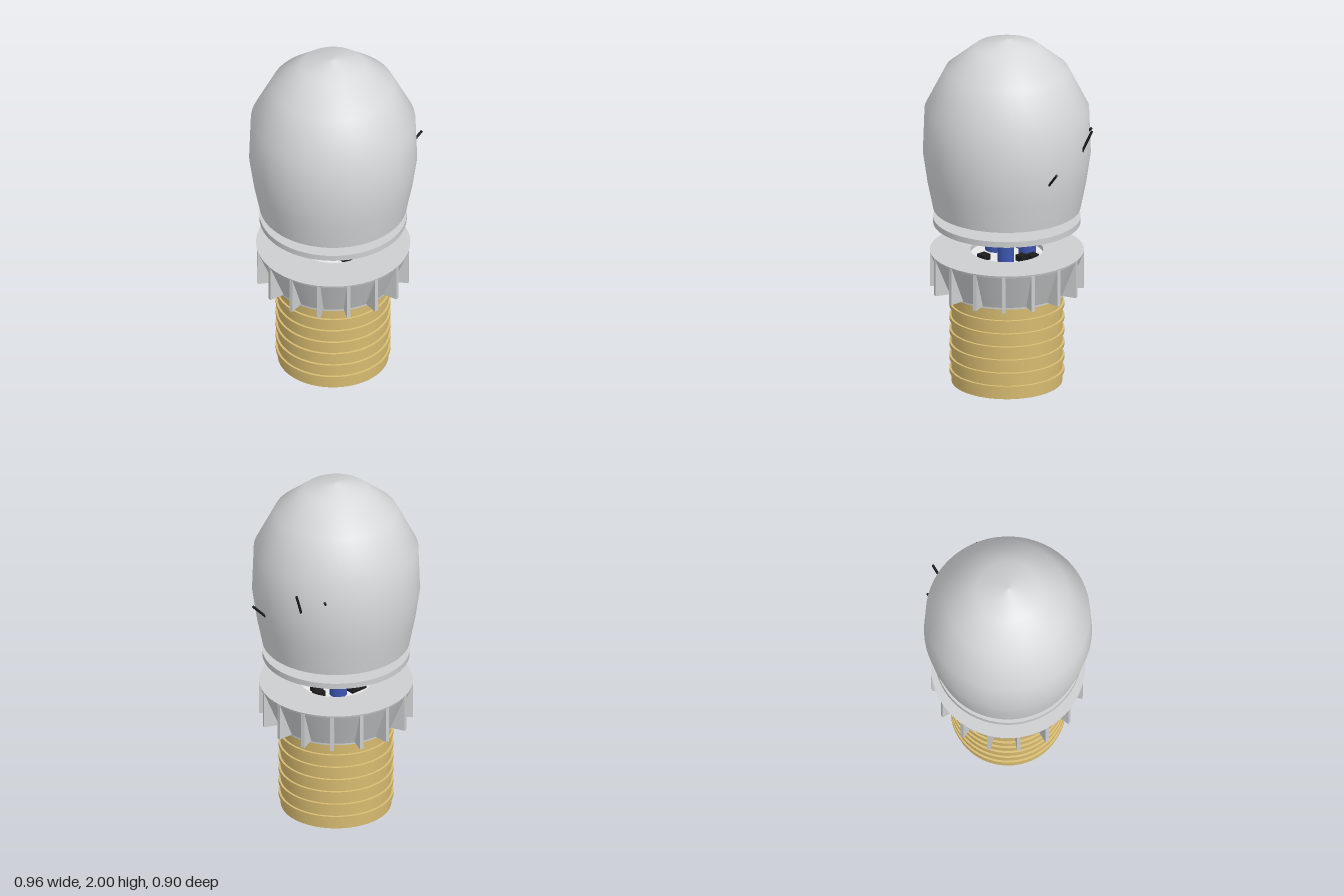
import * as THREE from 'three';

const mat = (name, color, side = THREE.FrontSide) => {
  const m = new THREE.MeshStandardMaterial({ color, side });
  m.name = name;
  return m;
};

export function createModel() {
  const root = new THREE.Group();
  root.name = 'explodedLedBulb';
  const bulb = new THREE.Group();
  bulb.name = 'bulb';
  bulb.position.x = -0.03;
  root.add(bulb);

  const diffuser = mat('diffuser grey', 0xd6d8da);
  const metal = mat('aluminium grey', 0xcccecf);
  const brass = mat('brass', 0xd6ba70);
  const blue = mat('capacitor blue', 0x3d54b0);
  const black = mat('black', 0x1c1c1c);
  const white = mat('board white', 0xeeeeee);

  const add = (name, geo, material, x = 0, y = 0, z = 0) => {
    const m = new THREE.Mesh(geo, material);
    m.name = name;
    m.position.set(x, y, z);
    bulb.add(m);
    return m;
  };
  const cyl = (name, r, y0, y1, material, x = 0, z = 0, sides = 48) =>
    add(name, new THREE.CylinderGeometry(r, r, y1 - y0, sides), material, x, (y0 + y1) / 2, z);

  // Lathe with a crisp edge at every profile point, one band at a time
  const crispLathe = (name, pts, material) => {
    for (let i = 0; i < pts.length - 1; i++) {
      const band = [pts[i], pts[i + 1]].map(p => new THREE.Vector2(...p));
      add(name, new THREE.LatheGeometry(band, 64), material);
    }
  };

  // Diffuser dome, smooth across its few profile bands
  const dome = [[0.395, 1.04], [0.425, 1.19], [0.45, 1.36], [0.441, 1.61],
    [0.33, 1.83], [0.172, 1.96], [0, 2]].map(p => new THREE.Vector2(...p));
  add('dome', new THREE.LatheGeometry(dome, 64), diffuser);
  const cap = add('domeUnderside', new THREE.CircleGeometry(0.395, 64), diffuser, 0, 1.04, 0);
  cap.rotation.x = Math.PI / 2;

  // Small rods standing out of the dome
  const rod = (a, b) => {
    const p = new THREE.Vector3(...a), q = new THREE.Vector3(...b);
    const d = q.clone().sub(p);
    const m = add('domeRod', new THREE.CylinderGeometry(0.007, 0.007, d.length(), 8), black);
    m.position.copy(p).add(q).multiplyScalar(0.5);
    m.quaternion.setFromUnitVectors(new THREE.Vector3(0, 1, 0), d.normalize());
  };
  rod([0.405, 1.42, -0.172], [0.46, 1.55, -0.195]);
  rod([0.42, 1.295, 0.086], [0.505, 1.385, 0.103]);
  rod([0.325, 1.48, -0.28], [0.348, 1.512, -0.296]);

  // LED plate with chips and a connector
  cyl('ledPlate', 0.395, 0.955, 0.987, metal, 0, 0, 64);
  const chip = (x, z) => cyl('ledChip', 0.053, 0.985, 1.018, brass, x, z, 8);
  chip(0, 0);
  for (const s of [-1, 1]) {
    chip(s * 0.225, 0);
    chip(0, s * 0.225);
    chip(s * 0.11, s * 0.11);
    chip(s * 0.11, -s * 0.11);
  }
  add('connector', new THREE.BoxGeometry(0.08, 0.05, 0.08), black, -0.125, 1.013, -0.21);

  // Heat sink: flared body with a well in the top
  crispLathe('heatSink', [[0.28, 0.575], [0.328, 0.575], [0.328, 0.585], [0.41, 0.785],
    [0.413, 0.797], [0.195, 0.797], [0.195, 0.77]], metal);
  cyl('driverBoard', 0.195, 0.76, 0.772, white);

  // Radial fins
  const finShape = new THREE.Shape();
  finShape.moveTo(0.315, 0.585);
  finShape.lineTo(0.412, 0.585);
  finShape.lineTo(0.412, 0.79);
  finShape.lineTo(0.39, 0.79);
  const finGeo = new THREE.ExtrudeGeometry(finShape, { depth: 0.02, bevelEnabled: false });
  finGeo.translate(0, 0, -0.01);
  for (let i = 0; i < 16; i++) {
    add('fin', finGeo, metal).rotation.y = (i * Math.PI) / 8;
  }

  // Driver components
  cyl('largeCapacitor', 0.055, 0.77, 0.953, blue, -0.09, 0);
  cyl('backCapacitor', 0.047, 0.77, 0.9, blue, 0.065, -0.09);
  cyl('frontCapacitor', 0.045, 0.77, 0.88, blue, 0.088, 0.09);
  for (const [x, z, w] of [[-0.02, 0.15, 0.05], [0.13, 0.01, 0.05], [0.16, -0.04, 0.05], [-0.04, -0.12, 0.1]]) {
    add('driverChip', new THREE.BoxGeometry(w, 0.034, 0.05), black, x, 0.787, z);
  }

  // Screw base with a shallow recess underneath
  crispLathe('screwBase', [[0.185, 0.066], [0.185, 0.05], [0.297, 0.05], [0.297, 0.58]], brass);
  for (let i = 0; i < 6; i++) {
    const y = 0.115 + i * 0.075;
    crispLathe('thread', [[0.29, y - 0.013], [0.308, y - 0.011], [0.308, y + 0.011], [0.29, y + 0.013]], brass);
  }
  cyl('insulator', 0.186, 0.065, 0.09, black);
  cyl('contact', 0.098, 0, 0.07, brass);

  return root;
}
